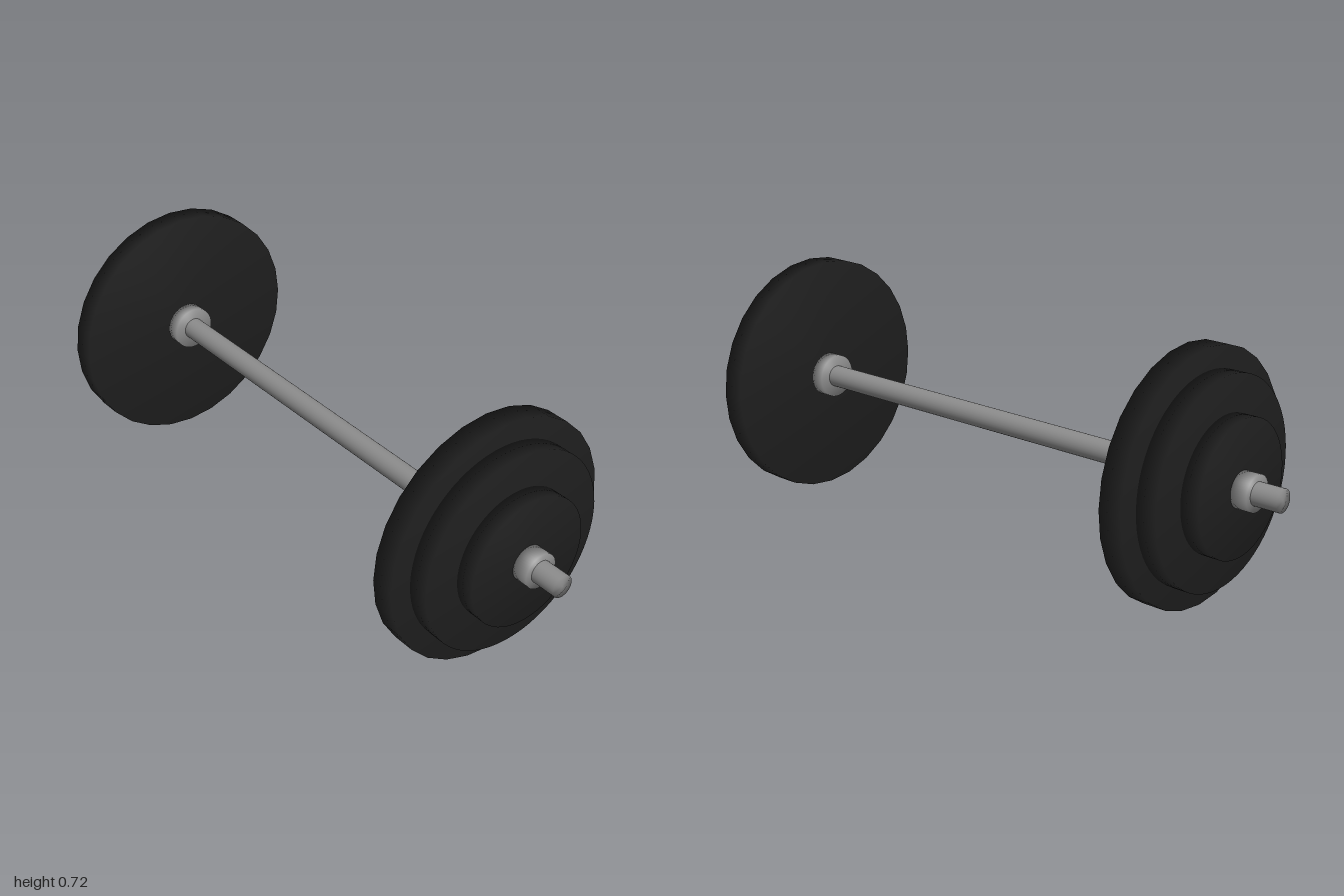
import * as THREE from 'three';

const AXIS_Y = 0.362;

export function createModel() {
  const group = new THREE.Group();
  const steel = new THREE.MeshStandardMaterial({ color: 0x8c8c8c });
  steel.name = 'steel grey';
  const iron = new THREE.MeshStandardMaterial({ color: 0x1e1e1e });
  iron.name = 'iron black';

  // Solid disc lying along x, with normals blended over its rims
  function disc(name, x0, x1, radius, sides, material) {
    const profile = [[0, x0], [radius, x0], [radius, x1], [0, x1]];
    const geometry = new THREE.LatheGeometry(profile.map(([r, x]) => new THREE.Vector2(r, x)), sides);
    geometry.rotateZ(-Math.PI / 2);
    const mesh = new THREE.Mesh(geometry, material);
    mesh.name = name;
    mesh.position.y = AXIS_Y;
    group.add(mesh);
  }

  // Long bar through everything
  disc('bar', -1, 1, 0.033, 32, steel);

  // Collars and stacked plates, from the grip outwards
  const parts = [
    ['innerCollar', 0.648, 0.688, 0.066, 48, steel],
    ['largePlate', 0.688, 0.757, 0.362, 28, iron],
    ['mediumPlate', 0.757, 0.818, 0.298, 64, iron],
    ['smallPlate', 0.818, 0.874, 0.193, 64, iron],
    ['outerCollar', 0.874, 0.922, 0.052, 48, steel],
  ];
  for (const [name, near, far, radius, sides, material] of parts) {
    disc(name + 'Left', near, far, radius, sides, material);
    disc(name + 'Right', -far, -near, radius, sides, material);
  }
  return group;
}
